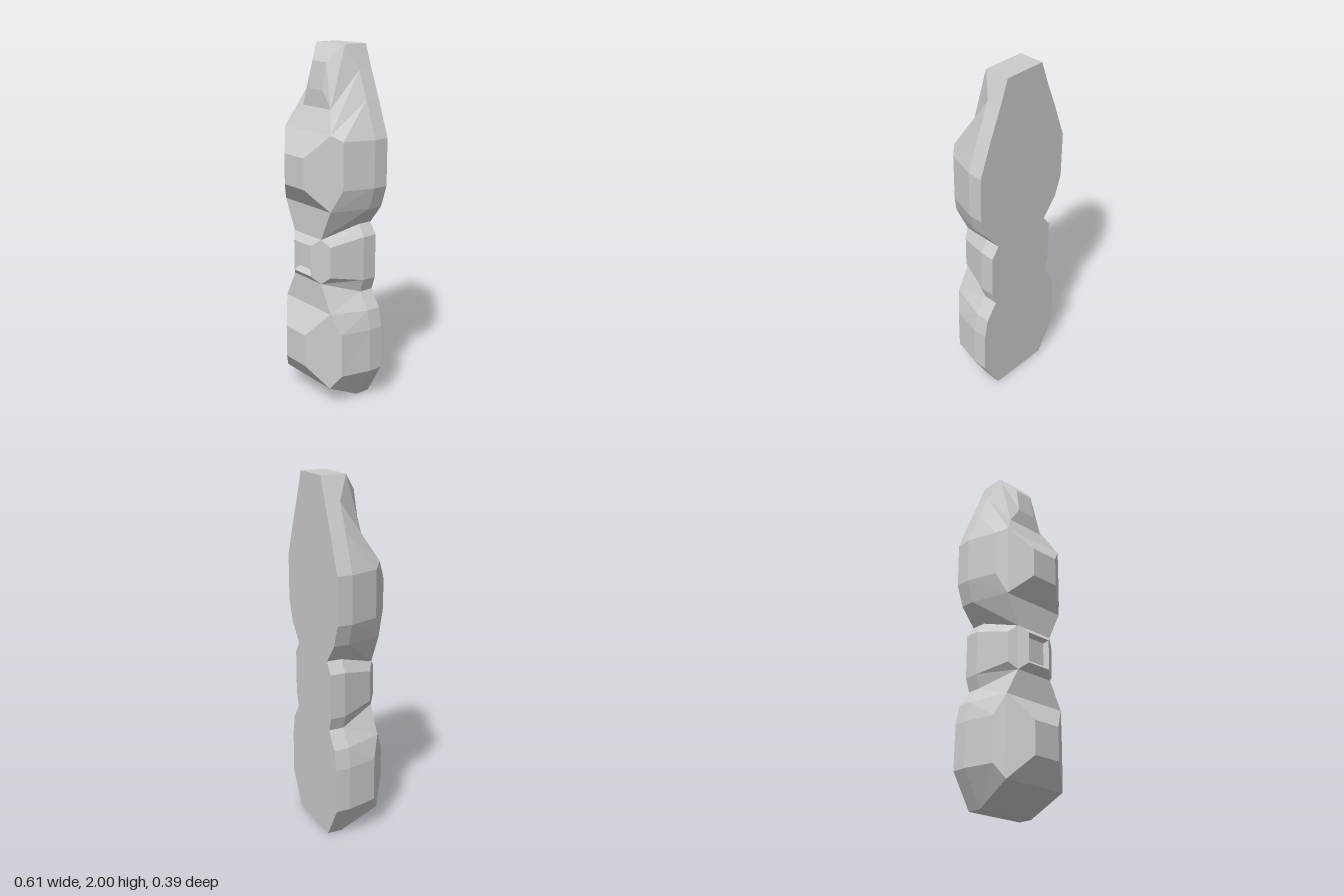
import * as THREE from 'three';

const BACK = -0.195, SIDE = -0.11;
const v = (x, y, z) => [x, y, z];

// Corner points shared by several rows of the front face
const F = {
  low: v(0.2, 0.11, 0.105), lowTop: v(0.2, 0.56, 0.105),
  waist: v(0.12, 0.715, 0.105), waistTop: v(0.12, 0.97, 0.105),
  chest: v(0.2, 1.14, 0.105), chestTop: v(0.2, 1.55, 0.105),
  head: v(0.12, 1.67, 0.042), tip: v(0.12, 2, -0.052),
};
const foot = v(0.18, 0, SIDE);

// Rows from bottom to top: side edge, chamfer corner, front corner (right half)
const rows = [
  [foot, foot, foot],
  [v(0.29, 0.19, SIDE), v(0.25, 0.19, 0.06), F.low],
  [v(0.287, 0.44, SIDE), v(0.25, 0.44, 0.06), F.lowTop],
  [v(0.265, 0.55, SIDE), F.lowTop, F.lowTop],
  [v(0.2, 0.645, SIDE), F.waist, F.waist],
  [v(0.225, 0.72, SIDE), v(0.165, 0.755, 0.075), F.waist],
  [v(0.225, 0.97, SIDE), v(0.165, 0.93, 0.075), F.waistTop],
  [v(0.18, 1.035, SIDE), F.waistTop, F.waistTop],
  [v(0.265, 1.14, SIDE), F.chest, F.chest],
  [v(0.305, 1.26, SIDE), v(0.25, 1.26, 0.06), F.chest],
  [v(0.305, 1.52, SIDE), v(0.25, 1.52, 0.06), F.chestTop],
  [v(0.23, 1.72, SIDE), F.chestTop, F.chestTop],
  [v(0.168, 1.87, SIDE), F.head, F.head],
  [F.tip, F.tip, F.tip],
];

// Raised panels on the front: nested rectangles [half width, yLow, zLow, yHigh, zHigh]
const panels = {
  1: { name: 'lowerBulge', rings: [[0.085, 0.235, 0.195, 0.42, 0.195]] },
  5: { name: 'waistBuckle', rings: [[0.075, 0.755, 0.143, 0.93, 0.143], [0.06, 0.78, 0.115, 0.915, 0.115]] },
  9: { name: 'upperBulge', rings: [[0.085, 1.255, 0.195, 1.425, 0.195]] },
  12: { name: 'snout', rings: [[0.058, 1.765, 0.046, 1.91, 0.025]] },
};

const mirror = ([x, y, z]) => [-x, y, z];

function makeMesh(name, positions) {
  const geometry = new THREE.BufferGeometry();
  geometry.setAttribute('position', new THREE.Float32BufferAttribute(positions, 3));
  geometry.computeVertexNormals();
  const mesh = new THREE.Mesh(geometry, new THREE.MeshStandardMaterial({ color: 0xcccccc, flatShading: true }));
  mesh.name = name;
  return mesh;
}

// Two triangles for a quad given counter-clockwise; collapsed ones are skipped
function quad(out, a, b, c, d, flip = false) {
  const tris = flip ? [[a, b, d], [b, c, d]] : [[a, b, c], [a, c, d]];
  for (const t of tris) {
    const [p, q, r] = t.map((k) => new THREE.Vector3(...k));
    if (q.sub(p).cross(r.sub(p)).length() > 1e-7) out.push(...t.flat());
  }
}

// Full loop around one row, left back corner to right back corner
function loop([side, chamfer, front]) {
  const half = [front, chamfer, side, [side[0], side[1], BACK]];
  return [...half.map(mirror).reverse(), ...half];
}

function createPanel(name, base, rings) {
  const out = [];
  let outer = base;
  for (const [w, y0, z0, y1, z1] of rings) {
    const inner = [v(-w, y0, z0), v(w, y0, z0), v(w, y1, z1), v(-w, y1, z1)];
    for (let i = 0; i < 4; i++) {
      const j = (i + 1) % 4;
      quad(out, outer[i], outer[j], inner[j], inner[i]);
    }
    outer = inner;
  }
  quad(out, ...outer);
  return makeMesh(name, out);
}

export function createModel() {
  const group = new THREE.Group();
  group.name = 'facetedFigure';
  const loops = rows.map(loop);
  const body = [];

  // Body shell with flat back; front cells with a panel are left open
  for (let r = 0; r < loops.length - 1; r++) {
    const lo = loops[r], hi = loops[r + 1];
    for (let i = 0; i < 8; i++) {
      const j = (i + 1) % 8;
      const cell = [lo[i], lo[j], hi[j], hi[i]];
      if (i === 3 && panels[r]) group.add(createPanel(panels[r].name, cell, panels[r].rings));
      else quad(body, ...cell, i < 3);
    }
  }

  // Bottom and top caps
  const bottom = loops[0], top = loops[loops.length - 1];
  quad(body, bottom[0], bottom[7], bottom[4], bottom[3]);
  quad(body, top[3], top[4], top[7], top[0]);
  group.add(makeMesh('body', body));
  return group;
}
